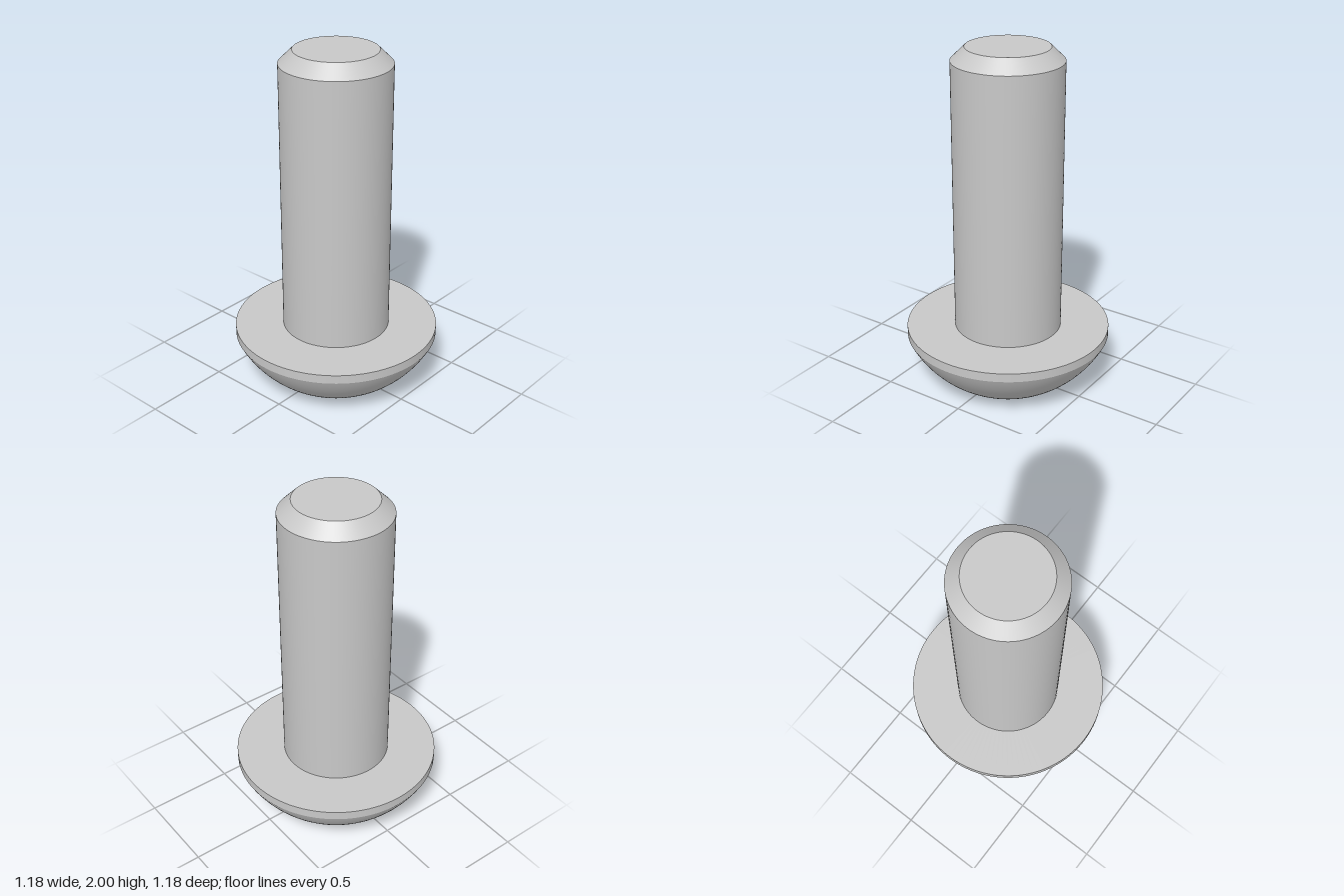
import * as THREE from 'three';

const SHANK_R = 0.311, HEAD_R = 0.591, HEAD_TOP = 0.342, RIM_Y = 0.29;
const HEX_R = 0.239, SOCKET_R = 0.241, SOCKET_DEPTH = 0.24;

export function createModel() {
  const group = new THREE.Group();
  const steel = new THREE.MeshStandardMaterial({ color: 0xc8c8c8 });
  steel.name = 'steel';

  const add = (name, geometry) => {
    const mesh = new THREE.Mesh(geometry, steel);
    mesh.name = name;
    group.add(mesh);
  };
  // Each profile run is its own surface, so edges between runs stay sharp
  const turned = (name, points) =>
    add(name, new THREE.LatheGeometry(points.map(([r, y]) => new THREE.Vector2(r, y)), 96));

  // Domed head: spherical arc from the flat end ring to the straight rim
  const cy = (HEAD_R ** 2 + RIM_Y ** 2 - SHANK_R ** 2) / (2 * RIM_Y);
  const domeR = Math.hypot(SHANK_R, cy);
  const a0 = Math.atan2(SHANK_R, cy), a1 = Math.atan2(HEAD_R, cy - RIM_Y);
  const dome = [];
  for (let i = 0; i <= 20; i++) {
    const a = a0 + (a1 - a0) * i / 20;
    dome.push([domeR * Math.sin(a), Math.max(0, cy - domeR * Math.cos(a))]);
  }
  turned('headEndRing', [[SOCKET_R, 0], [SHANK_R, 0]]);
  turned('headDome', dome);
  turned('headRim', [[HEAD_R, RIM_Y], [HEAD_R, HEAD_TOP]]);
  turned('headBearingFace', [[HEAD_R, HEAD_TOP], [SHANK_R, HEAD_TOP]]);

  // Shank with chamfered tip
  turned('shank', [[SHANK_R, HEAD_TOP], [SHANK_R, 1.925]]);
  turned('tipChamfer', [[SHANK_R, 1.925], [0.234, 2]]);
  turned('tipFace', [[0.234, 2], [0, 2]]);

  // Hex socket: per side, a flat wall scalloped by a conical lead-in
  const strip = (side, lower, upper) => {
    const n = 16, pos = [], index = [];
    for (let i = 0; i <= n; i++) {
      const local = (i / n - 0.5) * Math.PI / 3;
      const theta = local + (side + 0.5) * Math.PI / 3;
      const flatR = HEX_R * Math.cos(Math.PI / 6) / Math.cos(local);
      for (const [r, y] of [lower(flatR), upper(flatR)]) {
        pos.push(r * Math.sin(theta), y, r * Math.cos(theta));
      }
      if (i < n) {
        const a = 2 * i;
        index.push(a, a + 2, a + 1, a + 2, a + 3, a + 1);
      }
    }
    const g = new THREE.BufferGeometry();
    g.setAttribute('position', new THREE.Float32BufferAttribute(pos, 3));
    g.setIndex(index);
    g.computeVertexNormals();
    return g;
  };
  const floorEdge = r => [r, SOCKET_DEPTH];
  const scallop = r => [r, (SOCKET_R - r) * 1.05];
  const mouth = () => [SOCKET_R, 0];
  for (let side = 0; side < 6; side++) {
    add('socketWall', strip(side, floorEdge, scallop));
    add('socketLeadIn', strip(side, scallop, mouth));
  }
  const floor = new THREE.CircleGeometry(HEX_R, 6, Math.PI / 2);
  floor.rotateX(Math.PI / 2).translate(0, SOCKET_DEPTH, 0);
  add('socketFloor', floor);

  return group;
}
